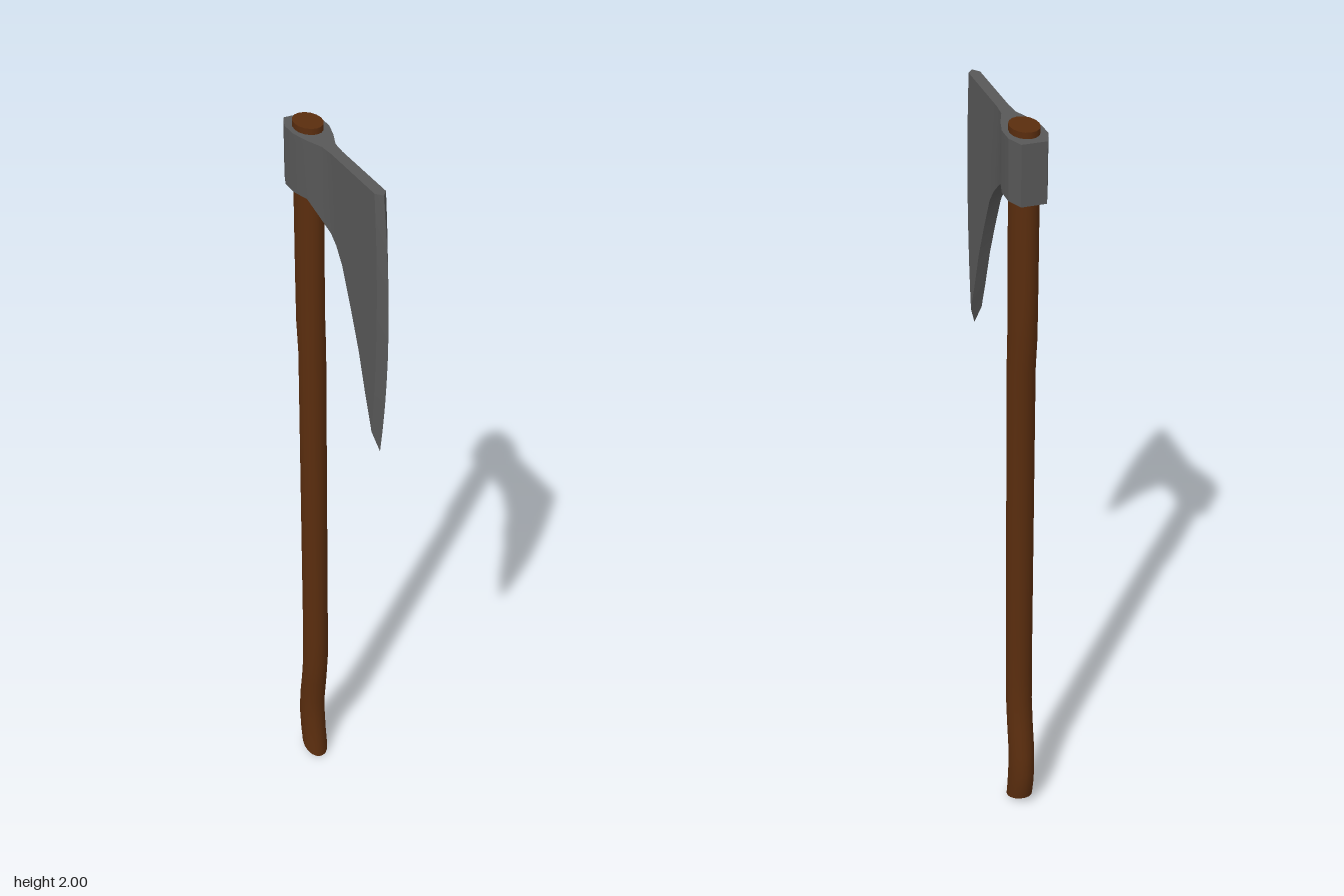
import * as THREE from 'three';
import { toCreasedNormals } from 'three/addons/utils/BufferGeometryUtils.js';

// Skin a list of closed rings (equal point counts) and cap both ends.
function loft(rings, crease) {
  const n = rings[0].length;
  const pos = [];
  const tri = (a, b, c) => pos.push(...a.toArray(), ...b.toArray(), ...c.toArray());
  for (let i = 0; i < rings.length - 1; i++) {
    for (let j = 0; j < n; j++) {
      const k = (j + 1) % n;
      const a = rings[i][j], b = rings[i][k], c = rings[i + 1][k], d = rings[i + 1][j];
      tri(a, b, c);
      tri(a, c, d);
    }
  }
  const cap = (ring, flip) => {
    const mid = new THREE.Vector3();
    ring.forEach((p) => mid.addScaledVector(p, 1 / n));
    ring.forEach((p, j) => {
      const q = ring[(j + 1) % n];
      if (flip) tri(mid, q, p);
      else tri(mid, p, q);
    });
  };
  cap(rings[0], true);
  cap(rings[rings.length - 1], false);
  const geo = new THREE.BufferGeometry();
  geo.setAttribute('position', new THREE.Float32BufferAttribute(pos, 3));
  return toCreasedNormals(geo, crease);
}

// Oval haft: [y, front z, back z, rise of the back edge]
function haftGeometry() {
  const stations = [
    [0, -0.125, -0.212, 0.037],
    [0.06, -0.133, -0.222, 0.02],
    [0.13, -0.139, -0.228, 0],
    [0.2, -0.14, -0.223, 0],
    [0.28, -0.129, -0.208, 0],
    [0.36, -0.121, -0.197, 0],
    [0.46, -0.12, -0.194, 0],
    [1.38, -0.12, -0.195, 0],
    [1.47, -0.12, -0.209, 0],
    [1.6, -0.121, -0.211, 0],
    [2, -0.121, -0.213, 0],
  ];
  const sides = 16;
  const rings = stations.map(([y, zf, zb, rise]) =>
    Array.from({ length: sides }, (_, j) => {
      const t = (j / sides) * Math.PI * 2;
      const back = (1 + Math.sin(t)) / 2;
      return new THREE.Vector3(0.034 * Math.cos(t), y + rise * back, zf + (zb - zf) * back);
    }));
  return loft(rings, 0.7);
}

// Head from poll to edge: [z, bottom y, half width at top, half width at bottom, forward bow]
function headGeometry() {
  const top = 1.985, rows = 10;
  const stations = [
    [-0.235, 1.837, 0.03, 0.03, 0],
    [-0.195, 1.837, 0.046, 0.046, 0],
    [-0.15, 1.837, 0.046, 0.046, 0],
    [-0.105, 1.837, 0.034, 0.034, 0],
    [-0.06, 1.81, 0.017, 0.024, 0],
    [-0.02, 1.785, 0.014, 0.015, 0],
    [0.005, 1.765, 0.014, 0.014, 0],
    [0.035, 1.728, 0.014, 0.014, 0],
    [0.08, 1.635, 0.014, 0.014, 0],
    [0.12, 1.545, 0.014, 0.014, 0.003],
    [0.155, 1.445, 0.014, 0.014, 0.008],
    [0.188, 1.36, 0.014, 0.014, 0.018],
    [0.205, 1.312, 0.0005, 0.0005, 0.031],
  ];
  const rings = stations.map(([z, bottom, wTop, wBottom, bow]) => {
    const side = Array.from({ length: rows + 1 }, (_, j) => {
      const v = j / rows;
      return new THREE.Vector3(
        wBottom + (wTop - wBottom) * v,
        bottom + (top - bottom) * v,
        z + bow * (1 - (2 * v - 1) ** 2));
    });
    const mirrored = side.map((p) => new THREE.Vector3(-p.x, p.y, p.z)).reverse();
    return [...side, ...mirrored];
  });
  return loft(rings, 0.35);
}

export function createModel() {
  const group = new THREE.Group();
  group.name = 'axe';
  const add = (name, geometry, color) => {
    const mesh = new THREE.Mesh(geometry, new THREE.MeshStandardMaterial({ color }));
    mesh.name = name;
    group.add(mesh);
  };
  add('haft', haftGeometry(), 0x5a2d0e);
  add('axeHead', headGeometry(), 0x585858);
  return group;
}
